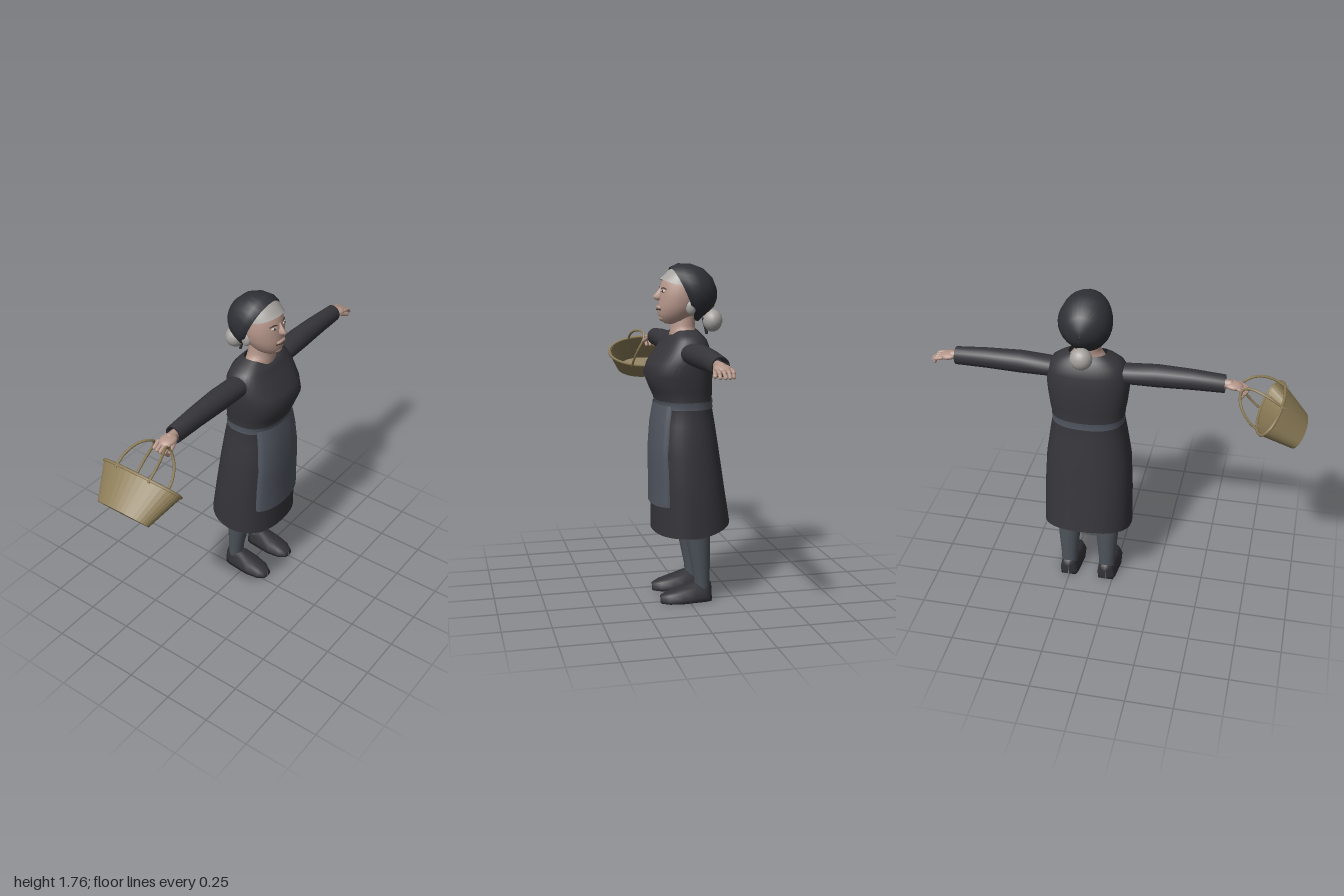
import * as THREE from 'three';

const mat = (name, color, double) => {
  const m = new THREE.MeshStandardMaterial({ color });
  m.name = name;
  if (double) m.side = THREE.DoubleSide;
  return m;
};
const V = (x, y, z) => new THREE.Vector3(x, y, z);

// Skins a list of rings (arrays of points) with smooth quads
function skin(rings, closed = true) {
  const n = rings[0].length, idx = [];
  for (let i = 0; i < rings.length - 1; i++) {
    for (let j = 0; j < (closed ? n : n - 1); j++) {
      const a = i * n + j, b = i * n + (j + 1) % n;
      idx.push(a, b, b + n, a, b + n, a + n);
    }
  }
  const g = new THREE.BufferGeometry().setFromPoints(rings.flat());
  g.setIndex(idx);
  g.computeVertexNormals();
  return g;
}

// Upright loft; sections are [y, centreZ, halfWidth, frontDepth, backDepth]
function loft(sections, power = 2, bend = () => 0, from = 0, to = Math.PI * 2, n = 28) {
  const closed = to - from > 6.28, sup = v => Math.sign(v) * Math.abs(v) ** (2 / power);
  return skin(sections.map((s, i) => Array.from({ length: closed ? n : n + 1 }, (_, j) => {
    const a = from + (to - from) * j / n, c = Math.cos(a);
    return V(s[2] * sup(Math.sin(a)), s[0] + bend(i, c), s[1] + sup(c) * (c > 0 ? s[3] : s[4]));
  })), closed);
}

export function createModel() {
  const M = {
    dress: mat('dress charcoal', 0x35353a, true),
    scarf: mat('scarf black', 0x2f3036, true),
    apron: mat('apron grey', 0x50555f, true),
    stocking: mat('stocking grey', 0x4d535b),
    shoe: mat('shoe dark', 0x323136),
    skin: mat('skin', 0xb5968a),
    hair: mat('grey hair', 0xa5a29e, true),
    basket: mat('basket straw', 0x8c7c57, true),
    white: mat('eye white', 0xc9c3bd),
    dark: mat('feature dark', 0x3c302e),
  };
  const model = new THREE.Group(), body = new THREE.Group();
  body.name = 'woman';
  body.position.x = 0.147;
  model.add(body);
  const add = (name, geo, m, parent = body) => {
    const mesh = new THREE.Mesh(geo, m);
    mesh.name = name;
    parent.add(mesh);
    return mesh;
  };
  const blob = (name, m, p, s, parent = body) => {
    const b = add(name, new THREE.SphereGeometry(1, 18, 12), m, parent);
    b.position.set(...p);
    b.scale.set(...s);
    return b;
  };
  const tube = (name, m, pts, r, parent = body, closed = false) =>
    add(name, new THREE.TubeGeometry(new THREE.CatmullRomCurve3(pts, closed), 40, r, 7, closed), m, parent);
  const capsule = (name, m, a, b, r) => {
    const d = b.clone().sub(a);
    const c = add(name, new THREE.CapsuleGeometry(r, d.length(), 4, 8), m);
    c.position.copy(a).addScaledVector(d, 0.5);
    c.quaternion.setFromUnitVectors(V(0, 1, 0), d.normalize());
  };

  // Dress: hem rises at the back, neckline dips in front
  const dress = [
    [0.37, -0.03, 0.243, 0.2, 0.205], [0.6, -0.02, 0.24, 0.187, 0.185], [0.8, 0, 0.23, 0.17, 0.175],
    [0.95, 0, 0.207, 0.16, 0.152], [1.05, 0, 0.19, 0.142, 0.135], [1.12, 0, 0.203, 0.175, 0.138],
    [1.2, 0, 0.213, 0.207, 0.137], [1.26, 0, 0.218, 0.188, 0.132], [1.33, 0, 0.214, 0.135, 0.125],
    [1.38, 0, 0.188, 0.103, 0.107], [1.405, 0, 0.15, 0.088, 0.085], [1.43, 0, 0.1, 0.074, 0.06],
  ];
  const last = dress.length - 1;
  add('dress', loft(dress, 2.4, (i, c) =>
    i === 0 ? Math.max(0, -c) * 0.05 : i === last ? -0.04 * Math.max(0, c) ** 4 : 0, 0, Math.PI * 2, 40), M.dress);
  add('waistband', loft([[1.03, 0, 0.195, 0.149, 0.142], [1.05, 0, 0.194, 0.147, 0.14],
    [1.07, 0, 0.197, 0.154, 0.142]], 2.4, undefined, 0, Math.PI * 2, 40), M.apron);

  // Apron: a sheet following the front of the skirt
  const skirtFront = (x, y) => {
    const i = Math.max(0, dress.findIndex(s => s[0] > y) - 1), t = (y - dress[i][0]) / (dress[i + 1][0] - dress[i][0]);
    const [, cz, rx, rf] = dress[i].map((v, k) => THREE.MathUtils.lerp(v, dress[i + 1][k], t));
    return cz + rf * (1 - Math.min(1, Math.abs(x / rx)) ** 2.4) ** (1 / 2.4);
  };
  const apron = [];
  for (let i = 0; i <= 10; i++) {
    const y = 0.52 + 0.053 * i, w = 0.184 - 0.03 * (i / 10) ** 2, row = [];
    for (let j = -9; j <= 9; j++) {
      const x = w * j / 9;
      row.push(V(x, y + 0.01 * (1 - i / 10) * (j / 9) ** 2, skirtFront(x, y) + 0.014));
    }
    row.unshift(row[0].clone().add(V(0, 0, -0.025)));
    row.push(row[row.length - 1].clone().add(V(0, 0, -0.025)));
    apron.push(row);
  }
  add('apron', skin(apron, false), M.apron);

  for (const s of [1, -1]) {
    const side = s > 0 ? 'left' : 'right';
    // Sleeve sections: [x, centreY, halfHeight, halfDepth]
    const sleeve = [[0.13, 1.32, 0.045, 0.06], [0.22, 1.32, 0.053, 0.064], [0.36, 1.325, 0.059, 0.061],
      [0.55, 1.325, 0.054, 0.052], [0.713, 1.32, 0.048, 0.045], [0.712, 1.32, 0.038, 0.036], [0.65, 1.32, 0.03, 0.03]];
    add(side + 'Sleeve', skin(sleeve.map(([x, y, h, d]) => Array.from({ length: 18 }, (_, j) => {
      const a = j / 18 * Math.PI * 2;
      return V(s * x, y - s * h * Math.sin(a), d * Math.cos(a));
    }))), M.dress);

    // Hand: wrist, palm, fingers and thumb; the right one grips the basket
    capsule(side + 'Wrist', M.skin, V(s * 0.66, 1.32, 0), V(s * 0.735, 1.32, 0), 0.024);
    blob(side + 'Palm', M.skin, [s * 0.755, 1.316, 0.002], [0.05, 0.02, 0.042]).rotation.z = -s * 0.12;
    for (let f = 0; f < 4; f++) {
      const z = -0.033 + f * 0.022, k = [0.02, 0.005, 0, 0.01][f];
      const pts = s > 0
        ? [V(0.785, 1.313, z), V(0.818, 1.306, z), V(0.845 - k, 1.286, z)]
        : [V(-0.785, 1.313, z), V(-0.825 + k / 2, 1.292, z), V(-0.795, 1.262, z)];
      capsule(side + 'Finger', M.skin, pts[0], pts[1], 0.0105);
      capsule(side + 'FingerTip', M.skin, pts[1], pts[2], 0.009);
    }
    capsule(side + 'Thumb', M.skin, V(s * 0.745, 1.31, 0.033), V(s * 0.795, 1.288, 0.046), 0.011);

    // Leg and shoe
    const leg = add(side + 'Leg', loft([[0.06, -0.075, 0.044, 0.04, 0.04], [0.13, -0.074, 0.046, 0.043, 0.041],
      [0.25, -0.062, 0.058, 0.056, 0.054], [0.38, -0.05, 0.066, 0.07, 0.066], [0.6, -0.03, 0.075, 0.08, 0.07]]), M.stocking);
    leg.position.x = s * 0.109;
    // Shoe sections run heel to toe: [z, halfWidth, height]
    const shoe = add(side + 'Shoe', skin([[0.152, 0.004, 0.03], [0.148, 0.028, 0.037], [0.11, 0.054, 0.053], [0.04, 0.064, 0.073],
      [-0.03, 0.058, 0.096], [-0.09, 0.052, 0.1], [-0.118, 0.042, 0.098], [-0.12, 0.002, 0.05]].map(([z, w, h]) =>
      [[0, 1], [0.5, 0.98], [0.78, 0.8], [1, 0.25], [0.98, 0], [-0.98, 0], [-1, 0.25], [-0.78, 0.8], [-0.5, 0.98]]
        .map(([x, y]) => V(x * w, y * h, z)))), M.shoe);
    shoe.position.x = s * 0.109;

    // Eye and brow
    blob(side + 'Eye', M.white, [s * 0.044, 1.624, 0.117], [0.017, 0.007, 0.006]).rotation.y = s * 0.35;
    blob(side + 'Pupil', M.dark, [s * 0.043, 1.624, 0.121], [0.007, 0.007, 0.004]);
    tube(side + 'Brow', M.dark, [V(s * 0.024, 1.638, 0.121), V(s * 0.045, 1.642, 0.116), V(s * 0.066, 1.634, 0.104)], 0.003);
    blob(side + 'Sideburn', M.hair, [s * 0.098, 1.545, -0.015], [0.018, 0.038, 0.028]);
  }

  // Neck and head
  add('neck', loft([[1.35, 0, 0.12, 0.075, 0.06], [1.4, 0, 0.1, 0.076, 0.06], [1.425, 0.002, 0.08, 0.068, 0.06],
    [1.45, 0.003, 0.065, 0.064, 0.06], [1.54, 0, 0.065, 0.064, 0.06]]), M.skin);
  const head = [[1.455, 0.075, 0.002, 0.002, 0.002], [1.458, 0.07, 0.03, 0.028, 0.04], [1.475, 0.05, 0.06, 0.073, 0.08],
    [1.51, 0.03, 0.088, 0.106, 0.1], [1.55, 0.02, 0.106, 0.115, 0.12], [1.6, 0.01, 0.113, 0.12, 0.13],
    [1.65, 0, 0.111, 0.122, 0.12], [1.69, -0.005, 0.1, 0.108, 0.11], [1.725, -0.01, 0.075, 0.083, 0.08],
    [1.745, -0.015, 0.04, 0.05, 0.05], [1.752, -0.02, 0.002, 0.002, 0.002]];
  add('head', loft(head), M.skin);
  add('nose', loft([[1.576, 0.12, 0.004, 0.02, 0.01], [1.583, 0.12, 0.019, 0.034, 0.02], [1.598, 0.12, 0.018, 0.044, 0.02],
    [1.618, 0.115, 0.011, 0.028, 0.01], [1.645, 0.11, 0.007, 0.012, 0.01]], 2, undefined, 0, Math.PI * 2, 14), M.skin);
  blob('upperLip', M.skin, [0, 1.54, 0.13], [0.035, 0.012, 0.014]);
  blob('chin', M.skin, [0, 1.487, 0.105], [0.035, 0.02, 0.026]);
  tube('mouth', M.dark, [V(-0.036, 1.53, 0.125), V(0, 1.532, 0.142), V(0.036, 1.53, 0.125)], 0.0035);

  // Grey hair at the brow, arching down to the temples
  add('frontHair', loft(head.slice(6).map(([y, z, x, f, b]) => [y + 0.004, z, x + 0.004, f + 0.004, b + 0.004]), 2,
    (i, c) => i === 0 ? 0.032 * Math.max(0, c) ** 2 : i === 1 ? 0.005 : 0, -1.6, 1.6), M.hair);

  // Headscarf: slanted rings [z, centreY, halfWidth, halfHeight, slant] from face edge to back
  const scarf = [[0.008, 1.61, 0.113, 0.125, 0.45], [0.012, 1.61, 0.127, 0.135, 0.45], [-0.02, 1.615, 0.137, 0.148, 0.35],
    [-0.065, 1.625, 0.137, 0.136, 0.22], [-0.11, 1.625, 0.118, 0.113, 0.12], [-0.147, 1.615, 0.08, 0.08, 0.05],
    [-0.168, 1.605, 0.035, 0.038, 0], [-0.172, 1.603, 0.002, 0.002, 0]];
  add('headscarf', skin(scarf.map(([z, y, w, h, k]) => Array.from({ length: 28 }, (_, j) => {
    const a = j / 28 * Math.PI * 2, c = Math.cos(a) * h;
    return V(w * Math.sin(a), y + c, z + k * c);
  }))), M.scarf);
  blob('hairBun', M.hair, [0, 1.468, -0.153], [0.058, 0.058, 0.052]);
  capsule('scarfTie', M.scarf, V(0, 1.48, -0.105), V(0, 1.405, -0.122), 0.008);

  // Oval basket, tipped on its side and hanging from the right hand
  const basket = new THREE.Group();
  basket.name = 'basket';
  basket.position.set(-0.955, 1.09, 0);
  basket.rotation.z = -0.91;
  model.add(basket);
  const wall = [[0, 0], [0.069, 0], [0.104, 0.19], [0.098, 0.19], [0.064, 0.012], [0, 0.012]];
  const flat = new THREE.LatheGeometry(wall.map(p => new THREE.Vector2(...p)), 40).toNonIndexed();
  flat.computeVertexNormals();
  add('basketWall', flat, M.basket, basket).scale.z = 2.22;
  tube('basketRim', M.basket, Array.from({ length: 24 }, (_, j) => {
    const a = j / 24 * Math.PI * 2;
    return V(0.103 * Math.cos(a), 0.19, 0.229 * Math.sin(a));
  }), 0.008, basket, true);
  for (const s of [1, -1]) {
    tube('basketHandle', M.basket, Array.from({ length: 9 }, (_, j) => {
      const a = j / 8 * Math.PI, h = Math.sin(a);
      return V(0.096 * Math.cos(a), 0.175 + 0.2 * h, s * (0.1 - 0.055 * h ** 3));
    }), 0.007, basket);
  }
  return model;
}
